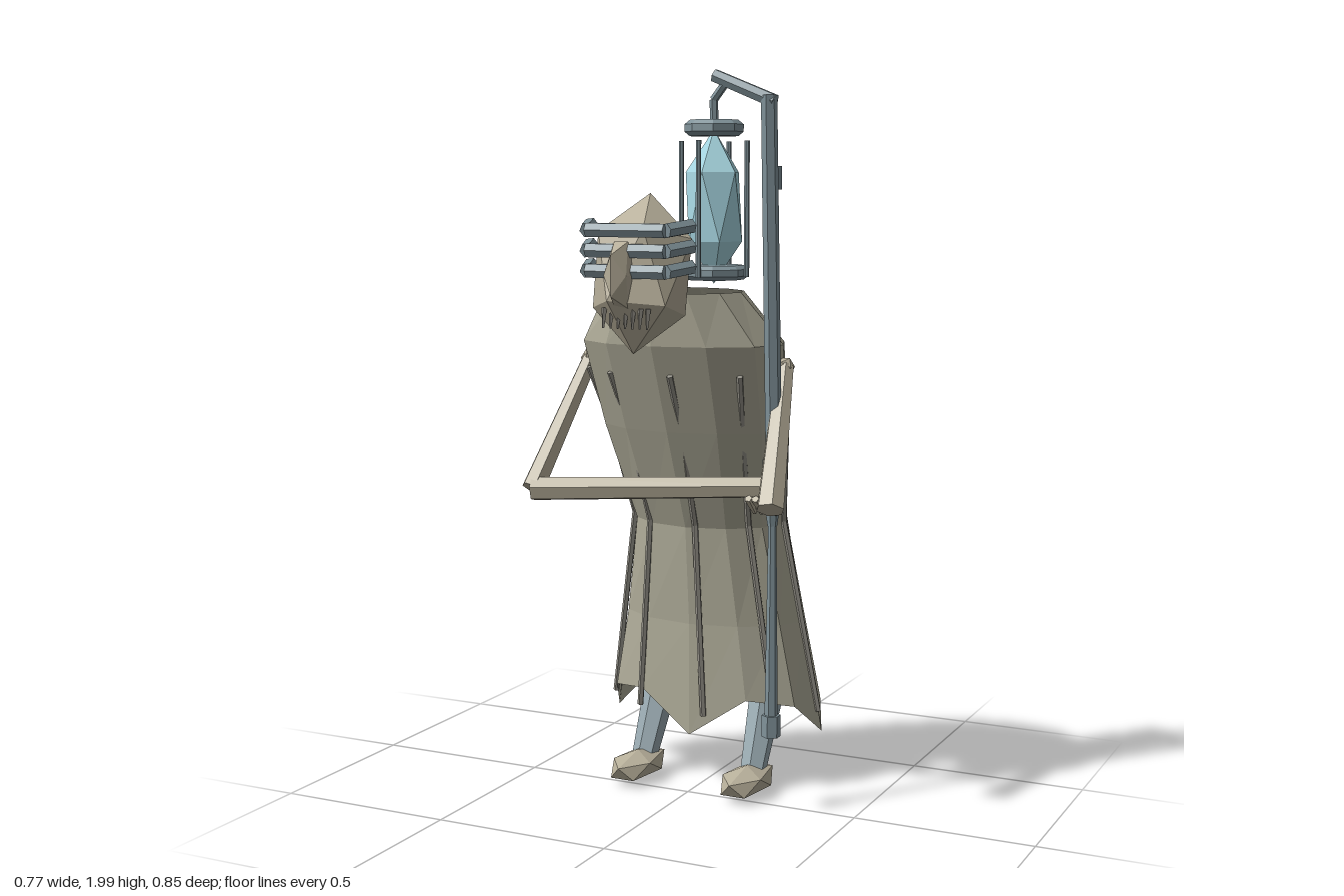
import * as THREE from 'three';

const mat = (name, color, extra = {}) => {
  const m = new THREE.MeshStandardMaterial({ color, flatShading: true, ...extra });
  m.name = name;
  return m;
};
const V = (p) => new THREE.Vector3(...p);
const CX = -0.013; // body axis

// Robe cross-sections from hem to collar: y, centre z, half width, half depth
const RINGS = [
  [0.16, -0.23, 0.325, 0.195],
  [0.48, -0.215, 0.275, 0.18],
  [0.76, -0.185, 0.225, 0.175],
  [1.04, -0.085, 0.275, 0.19],
  [1.28, 0.0, 0.295, 0.2],
  [1.42, 0.055, 0.195, 0.155],
];
// Hem heights around half of the robe, front to back
const HEM = [0.16, 0.27, 0.25, 0.16, 0.23, 0.21, 0.16];

function robePoint(y, angle, out = 0) {
  let k = 0;
  while (k < RINGS.length - 2 && y > RINGS[k + 1][0]) k++;
  const a = RINGS[k], b = RINGS[k + 1], t = (y - a[0]) / (b[0] - a[0]);
  const [cz, rx, rz] = [1, 2, 3].map((i) => a[i] + (b[i] - a[i]) * t);
  return [CX + Math.sin(angle) * (rx + out), y, cz + Math.cos(angle) * (rz + out)];
}

function robeGeometry() {
  const N = 12, pos = [], idx = [];
  RINGS.forEach(([y, cz, rx, rz], r) => {
    for (let i = 0; i < N; i++) {
      const a = (i / N) * Math.PI * 2;
      const h = r === 0 ? HEM[Math.min(i, N - i)] : y;
      pos.push(CX + Math.sin(a) * rx, h, cz + Math.cos(a) * rz);
    }
  });
  for (let r = 0; r < RINGS.length - 1; r++) {
    for (let i = 0; i < N; i++) {
      const a = r * N + i, b = r * N + ((i + 1) % N);
      idx.push(a, b, b + N, a, b + N, a + N);
    }
  }
  const g = new THREE.BufferGeometry();
  g.setAttribute('position', new THREE.Float32BufferAttribute(pos, 3));
  g.setIndex(idx);
  g.computeVertexNormals();
  return g;
}

// Icosahedron standing on a corner, turned by yaw
function gem(yaw = 0) {
  const corner = new THREE.Vector3(0, 1, (1 + Math.sqrt(5)) / 2).normalize();
  const q = new THREE.Quaternion().setFromUnitVectors(corner, new THREE.Vector3(0, 1, 0));
  return new THREE.IcosahedronGeometry(1, 0).applyQuaternion(q).rotateY(yaw);
}

// Flat disc with bevelled rim
function disc(radius, h) {
  const profile = [[0, -h], [radius - 0.014, -h], [radius, -h * 0.45], [radius, h * 0.45], [radius - 0.014, h], [0, h]];
  return new THREE.LatheGeometry(profile.map((p) => new THREE.Vector2(...p)), 8, Math.PI / 8);
}

export function createModel() {
  const root = new THREE.Group();
  root.name = 'lanternBearer';
  const cloth = mat('robe cloth', 0xb0ad9a, { side: THREE.DoubleSide });
  const fold = mat('robe fold', 0x96938a);
  const skin = mat('skin', 0xb8b09b);
  const legMat = mat('leg wrap', 0x98a9b0);
  const metal = mat('metal', 0x81939a);
  const glass = mat('lantern glass', 0xa8d8e3);

  const add = (name, geo, material, p = [0, 0, 0], s = [1, 1, 1]) => {
    const m = new THREE.Mesh(geo, material);
    m.name = name;
    m.position.set(...p);
    m.scale.set(...s);
    root.add(m);
    return m;
  };
  // Tapered rod from a to b
  const rod = (name, a, b, ra, rb, material, sides = 6) => {
    const A = V(a), B = V(b), d = B.clone().sub(A);
    const m = add(name, new THREE.CylinderGeometry(rb, ra, d.length(), sides), material);
    m.position.copy(A).add(B).multiplyScalar(0.5);
    m.quaternion.setFromUnitVectors(new THREE.Vector3(0, 1, 0), d.normalize());
  };
  const path = (name, pts, r, material, sides = 6) => {
    for (let i = 0; i < pts.length - 1; i++) rod(name, pts[i], pts[i + 1], r, r, material, sides);
  };

  // Robe and its nine raised folds, which sink into the chest at the front
  add('robe', robeGeometry(), cloth);
  for (let k = 0; k < 9; k++) {
    const a = ((8 + 40 * k) * Math.PI) / 180;
    const sink = Math.cos(a) > 0.2 ? -0.018 : -0.002;
    const pts = [[0.22, 0.002], [0.77, 0], [1.04, sink], [1.2, 0.001]].map(([y, out]) => robePoint(y, a, out));
    path('robeFold', pts, 0.009, fold, 5);
  }

  // Head tilted chin forward, nose and teeth
  const head = add('head', gem(0.37), skin, [CX + 0.005, 1.475, 0.258], [0.145, 0.212, 0.132]);
  head.rotation.x = -0.24;
  add('nose', new THREE.IcosahedronGeometry(1, 0), skin, [-0.012, 1.475, 0.365], [0.038, 0.1, 0.068]);
  for (let i = 0; i < 7; i++) {
    const x = -0.067 + i * 0.021;
    rod('tooth', [x, 1.39, 0.355], [x, 1.338, 0.362], 0.008, 0.003, fold, 4);
  }

  // Three bent visor bars
  for (let i = 0; i < 3; i++) {
    const y = 1.588 - i * 0.052;
    path('visorBar', [[-0.15, y + 0.01, 0.272], [-0.114, y, 0.358], [0.11, y, 0.358], [0.14, y + 0.01, 0.272]], 0.02, metal);
  }

  // Arms
  const elbow = [-0.36, 0.88, 0.228];
  rod('rightUpperArm', [-0.308, 1.22, -0.01], elbow, 0.024, 0.033, skin);
  rod('rightForearm', elbow, [0.285, 0.907, 0.075], 0.035, 0.03, skin);
  rod('leftUpperArm', [0.282, 1.22, -0.01], [0.345, 0.875, 0.23], 0.026, 0.038, skin);
  for (const x of [-0.308, 0.282]) add('shoulder', new THREE.IcosahedronGeometry(0.028, 0), skin, [x, 1.22, -0.01]);

  // Fingers gripping the staff
  for (let i = 0; i < 4; i++) {
    const x = 0.235 + i * 0.02;
    rod('finger', [x, 0.88, 0.12], [x, 0.835, 0.075], 0.011, 0.006, skin, 5);
  }

  // Legs and feet
  for (const s of [-1, 1]) {
    const x = CX + s * 0.172;
    rod('thigh', [x, 0.7, -0.17], [x + s * 0.005, 0.24, -0.19], 0.055, 0.048, legMat);
    rod('shin', [x - s * 0.005, 0.27, -0.205], [x, 0.05, -0.09], 0.05, 0.036, legMat);
    add('foot', gem(), skin, [x, 0.046, -0.052], [0.068, 0.042, 0.137]);
  }

  // Staff with foot, grip, shaft and crossbar
  rod('staffFoot', [0.28, 0.22, 0.062], [0.28, 0.28, 0.062], 0.026, 0.026, metal);
  rod('staffLower', [0.28, 0.28, 0.062], [0.28, 0.81, 0.062], 0.018, 0.011, metal);
  rod('staffCollar', [0.28, 0.8, 0.062], [0.28, 0.85, 0.062], 0.013, 0.02, metal);
  rod('staffGrip', [0.28, 0.83, 0.062], [0.28, 0.98, 0.066], 0.019, 0.026, metal);
  rod('staffShaft', [0.285, 0.95, 0.065], [0.29, 1.93, 0.125], 0.022, 0.021, metal);
  rod('staffCrossbar', [0.305, 1.913, 0.122], [0.135, 1.982, 0.122], 0.019, 0.018, metal);
  rod('staffPeg', [0.275, 1.69, 0.068], [0.275, 1.75, 0.068], 0.026, 0.026, metal);
  path('lanternHook', [[0.165, 1.96, 0.122], [0.133, 1.92, 0.122], [0.135, 1.85, 0.122]], 0.011, metal);

  // Lantern
  const [lx, lz] = [0.134, 0.122];
  add('lanternCap', disc(0.077, 0.021), metal, [lx, 1.848, lz]);
  add('lanternBase', disc(0.092, 0.019), metal, [lx, 1.475, lz]);
  add('lanternGlass', gem(), glass, [lx, 1.645, lz], [0.083, 0.2, 0.083]);
  for (let i = 0; i < 4; i++) {
    const x = lx + 0.094 * Math.cos((i * Math.PI) / 2), z = lz + 0.094 * Math.sin((i * Math.PI) / 2);
    rod('lanternRod', [x, 1.465, z], [x, 1.815, z], 0.007, 0.007, metal);
  }
  return root;
}
